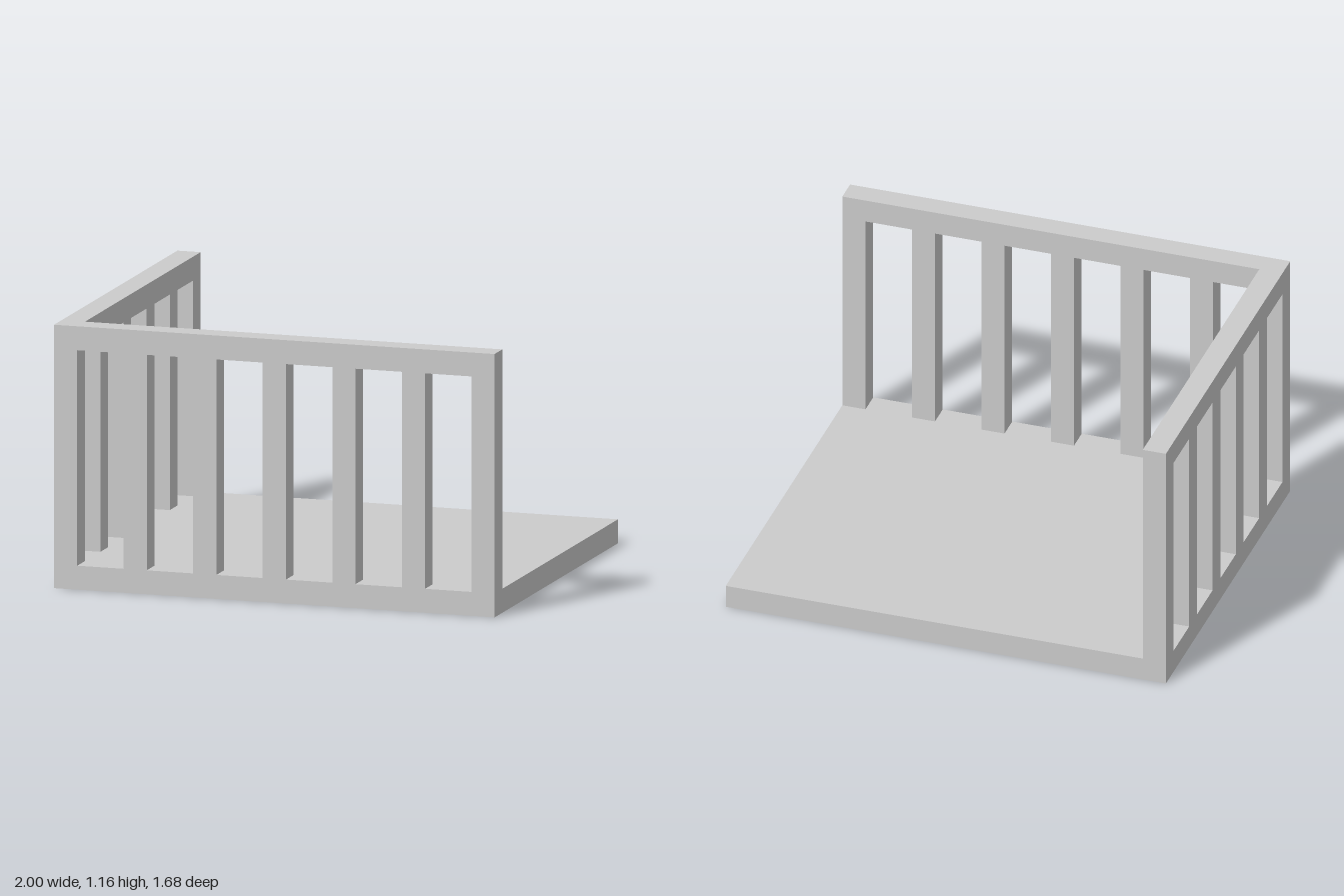
import * as THREE from 'three';

// Everything sits on a square module: 19 wide, 11 high, 16 deep
const U = 2 / 19;
const W = 19, H = 11, D = 16;
const PITCH = 3; // post every three modules

const material = new THREE.MeshStandardMaterial({ color: 0xcccccc, flatShading: true });

// Box given by its minimum corner and size in modules (x from left, z from back)
function block(name, x, y, z, w, h, d) {
  const mesh = new THREE.Mesh(new THREE.BoxGeometry(w * U, h * U, d * U), material);
  mesh.position.set((x + w / 2 - W / 2) * U, (y + h / 2) * U, (z + d / 2 - D / 2) * U);
  mesh.name = name;
  return mesh;
}

export function createModel() {
  const model = new THREE.Group();
  model.name = 'railedPlatform';

  // Floor slab
  model.add(block('floor', 0, 0, 0, W, 1, D));

  // Front railing: top rail and posts, including the shared corner post
  const front = new THREE.Group();
  front.name = 'frontRailing';
  front.add(block('frontTopRail', 0, H - 1, D - 1, W, 1, 1));
  for (let x = 0; x < W; x += PITCH) {
    front.add(block('frontPost', x, 1, D - 1, 1, H - 2, 1));
  }

  // Side railing along -x, running back from the corner post
  const side = new THREE.Group();
  side.name = 'sideRailing';
  side.add(block('sideTopRail', 0, H - 1, 0, 1, 1, D - 1));
  for (let z = 0; z < D - 1; z += PITCH) {
    side.add(block('sidePost', 0, 1, z, 1, H - 2, 1));
  }

  model.add(front, side);
  return model;
}
